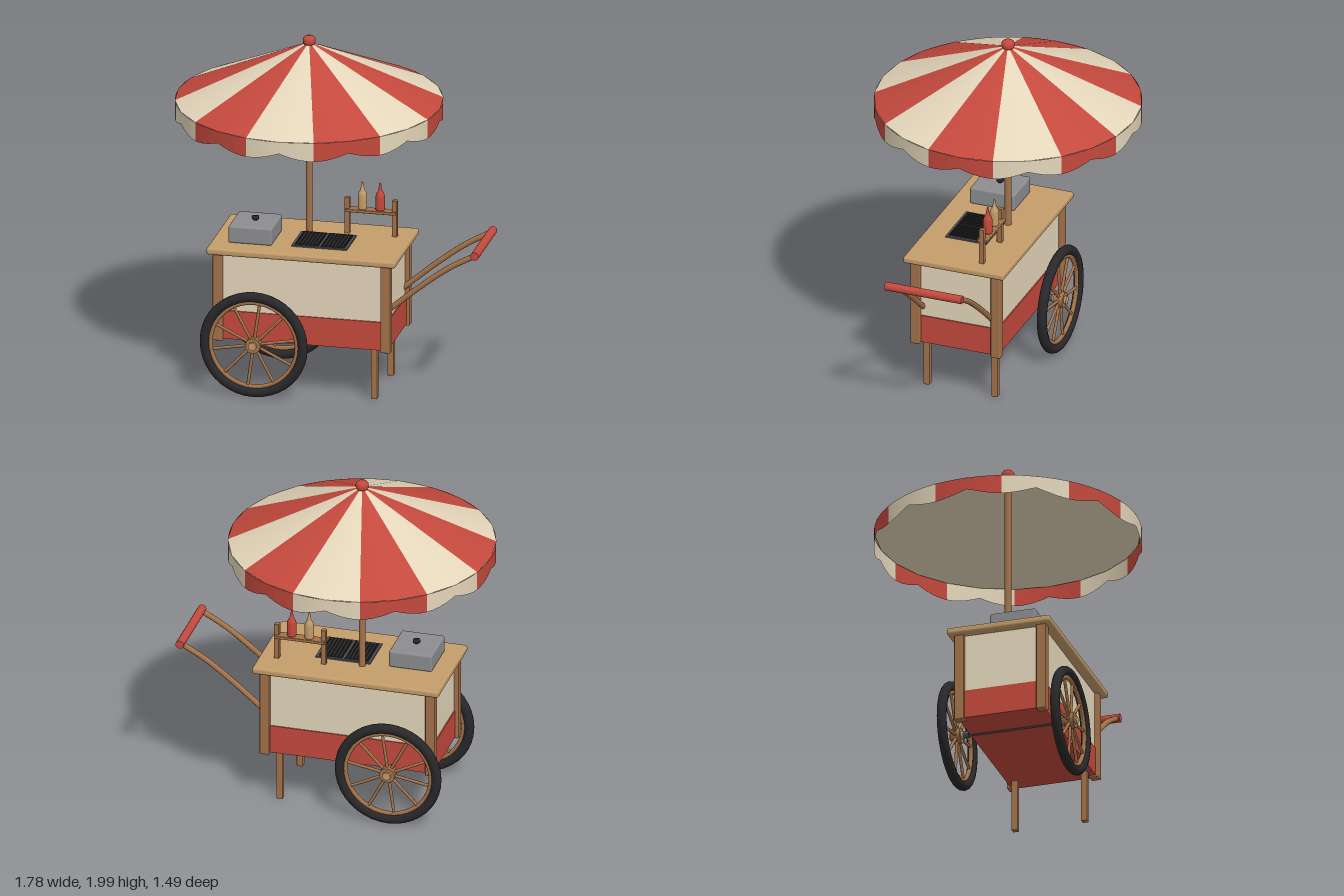
import * as THREE from 'three';
import { RoundedBoxGeometry } from 'three/addons/geometries/RoundedBoxGeometry.js';

const paint = (name, color, side = THREE.FrontSide) => {
  const m = new THREE.MeshStandardMaterial({ color, side });
  m.name = name;
  return m;
};

export function createModel() {
  const cream = paint('cream', 0xe4d6ba, THREE.DoubleSide);
  const red = paint('red', 0xc4493d, THREE.DoubleSide);
  const wood = paint('brown wood', 0xa3724a);
  const tan = paint('light wood', 0xc49c6a);
  const rubber = paint('black rubber', 0x28282a);
  const steel = paint('steel', 0x8c8d90);
  const iron = paint('dark iron', 0x4c4f54);

  const root = new THREE.Group();
  root.name = 'foodCart';
  const add = (name, geometry, material, x = 0, y = 0, z = 0, parent = root) => {
    const mesh = new THREE.Mesh(geometry, material);
    mesh.name = name;
    mesh.position.set(x, y, z);
    parent.add(mesh);
    return mesh;
  };
  // Box given by its lower and upper limits on each axis
  const box = (name, material, [x0, x1], [y0, y1], [z0, z1], round = 0) => {
    const s = [x1 - x0, y1 - y0, z1 - z0];
    const g = round ? new RoundedBoxGeometry(...s, 2, round) : new THREE.BoxGeometry(...s);
    return add(name, g, material, (x0 + x1) / 2, (y0 + y1) / 2, (z0 + z1) / 2);
  };
  const lathe = (points, sides) =>
    new THREE.LatheGeometry(points.map(([r, y]) => new THREE.Vector2(r, y)), sides);

  // Cart body, counter and corner posts
  box('bodyPanel', cream, [-0.59, 0.37], [0.315, 0.815], [-0.14, 0.345]);
  box('redBand', red, [-0.597, 0.377], [0.31, 0.475], [-0.147, 0.352]);
  box('counter', tan, [-0.645, 0.43], [0.81, 0.85], [-0.2, 0.4], 0.014);
  for (const x of [-0.587, 0.367])
    for (const z of [0.34, -0.137])
      box('cornerPost', wood, [x - 0.028, x + 0.028], [0.3, 0.812], [z - 0.028, z + 0.028], 0.006);
  for (const z of [0.305, -0.1])
    box('supportLeg', wood, [0.275, 0.311], [0.01, 0.312], [z - 0.018, z + 0.018], 0.005);

  // Spoked wheels on one axle
  const axle = add('axle', new THREE.CylinderGeometry(0.013, 0.013, 0.66, 12), iron, -0.365, 0.317, 0.103);
  axle.rotation.x = Math.PI / 2;
  for (const z of [0.433, -0.227]) {
    const wheel = new THREE.Group();
    wheel.name = 'wheel';
    wheel.position.set(-0.365, 0.317, z);
    root.add(wheel);
    add('tire', new THREE.TorusGeometry(0.279, 0.028, 12, 40), rubber, 0, 0, 0, wheel);
    add('rim', new THREE.TorusGeometry(0.246, 0.013, 8, 40), wood, 0, 0, 0, wheel);
    for (let i = 0; i < 10; i++) {
      const a = THREE.MathUtils.degToRad(10 + i * 36);
      const spoke = add('spoke', new THREE.CylinderGeometry(0.009, 0.009, 0.22, 8), wood,
        0.135 * Math.cos(a), 0.135 * Math.sin(a), 0, wheel);
      spoke.rotation.z = a - Math.PI / 2;
    }
    const hub = add('hub', new THREE.CylinderGeometry(0.044, 0.044, 0.055, 16), wood, 0, 0, 0, wheel);
    const cap = add('hubCap', new THREE.CylinderGeometry(0.023, 0.023, 0.08, 16), tan, 0, 0, 0, wheel);
    hub.rotation.x = cap.rotation.x = Math.PI / 2;
  }
  // Axle sleeves between wheels and body
  for (const z of [0.39, -0.185]) {
    const sleeve = add('axleSleeve', new THREE.CylinderGeometry(0.02, 0.02, 0.06, 12), iron, -0.365, 0.317, z);
    sleeve.rotation.x = Math.PI / 2;
  }

  // Push handle
  for (const z of [0.305, -0.103]) {
    const path = new THREE.CatmullRomCurve3([[0.36, 0.525], [0.55, 0.685], [0.72, 0.812], [0.865, 0.893]]
      .map(([x, y]) => new THREE.Vector3(x, y, z)));
    add('handleArm', new THREE.TubeGeometry(path, 16, 0.016, 10), wood);
  }
  const grip = add('handleGrip', new THREE.CylinderGeometry(0.024, 0.024, 0.455, 16), red, 0.866, 0.895, 0.1);
  grip.rotation.x = Math.PI / 2;

  // Umbrella: pole, striped cone, scalloped valance, lining and finial
  const umbrella = new THREE.Group();
  umbrella.name = 'umbrella';
  umbrella.position.x = -0.15;
  root.add(umbrella);
  add('pole', new THREE.CylinderGeometry(0.019, 0.019, 1.12, 16), wood, 0, 1.4, 0, umbrella);
  const step = Math.PI / 6;
  for (let k = 0; k < 12; k++) {
    const material = k % 2 ? red : cream;
    const start = (k - 0.5) * step;
    add('canopyStripe', new THREE.CylinderGeometry(0.012, 0.745, 0.33, 2, 4, true, start, step),
      material, 0, 1.795, 0, umbrella);
    const flap = new THREE.CylinderGeometry(0.743, 0.743, 0.11, 10, 1, true, start, step);
    const p = flap.attributes.position;
    for (let i = 0; i < p.count; i++) {
      if (p.getY(i) > 0) continue;
      const a = Math.atan2(p.getX(i), p.getZ(i));
      p.setY(i, -0.015 - 0.04 * Math.abs(Math.sin(6 * a)));
    }
    add('valanceFlap', flap, material, 0, 1.575, 0, umbrella);
  }
  add('canopyLining', lathe([[0.012, 1.945], [0.738, 1.62]], 24), cream, 0, 0, 0, umbrella);
  add('finial', lathe([[0, 1.945], [0.028, 1.95], [0.036, 1.965], [0.036, 1.985], [0.026, 1.997], [0, 2]], 16),
    red, 0, 0, 0, umbrella);

  // Covered pan with knob
  box('pan', steel, [-0.545, -0.297], [0.85, 0.95], [0.02, 0.287], 0.012);
  add('panKnob', lathe([[0.012, 0], [0.012, 0.008], [0.02, 0.01], [0.021, 0.024], [0, 0.028]], 14),
    rubber, -0.42, 0.948, 0.153);

  // Grill tray with two grates
  box('grillTray', iron, [-0.19, 0.125], [0.849, 0.858], [0.02, 0.265]);
  for (const x of [-0.107, 0.042]) {
    box('grate', rubber, [x - 0.068, x + 0.068], [0.857, 0.861], [0.034, 0.251]);
    for (let i = 0; i < 7; i++) {
      const bx = x - 0.06 + i * 0.02;
      box('grateBar', rubber, [bx - 0.003, bx + 0.003], [0.86, 0.865], [0.036, 0.249]);
    }
  }

  // Condiment shelf and squeeze bottles
  for (const x of [0.06, 0.33])
    box('shelfPost', wood, [x - 0.015, x + 0.015], [0.848, 1.06], [-0.05, -0.02], 0.004);
  box('shelf', wood, [0.05, 0.34], [0.978, 0.996], [-0.066, -0.006], 0.004);
  const bottle = lathe([[0, 0], [0.024, 0], [0.026, 0.005], [0.026, 0.08], [0.022, 0.096],
    [0.012, 0.112], [0.009, 0.13], [0.004, 0.158], [0, 0.16]], 16);
  add('mustardBottle', bottle, tan, 0.145, 0.996, -0.035);
  add('ketchupBottle', bottle, red, 0.246, 0.996, -0.035);

  return root;
}
